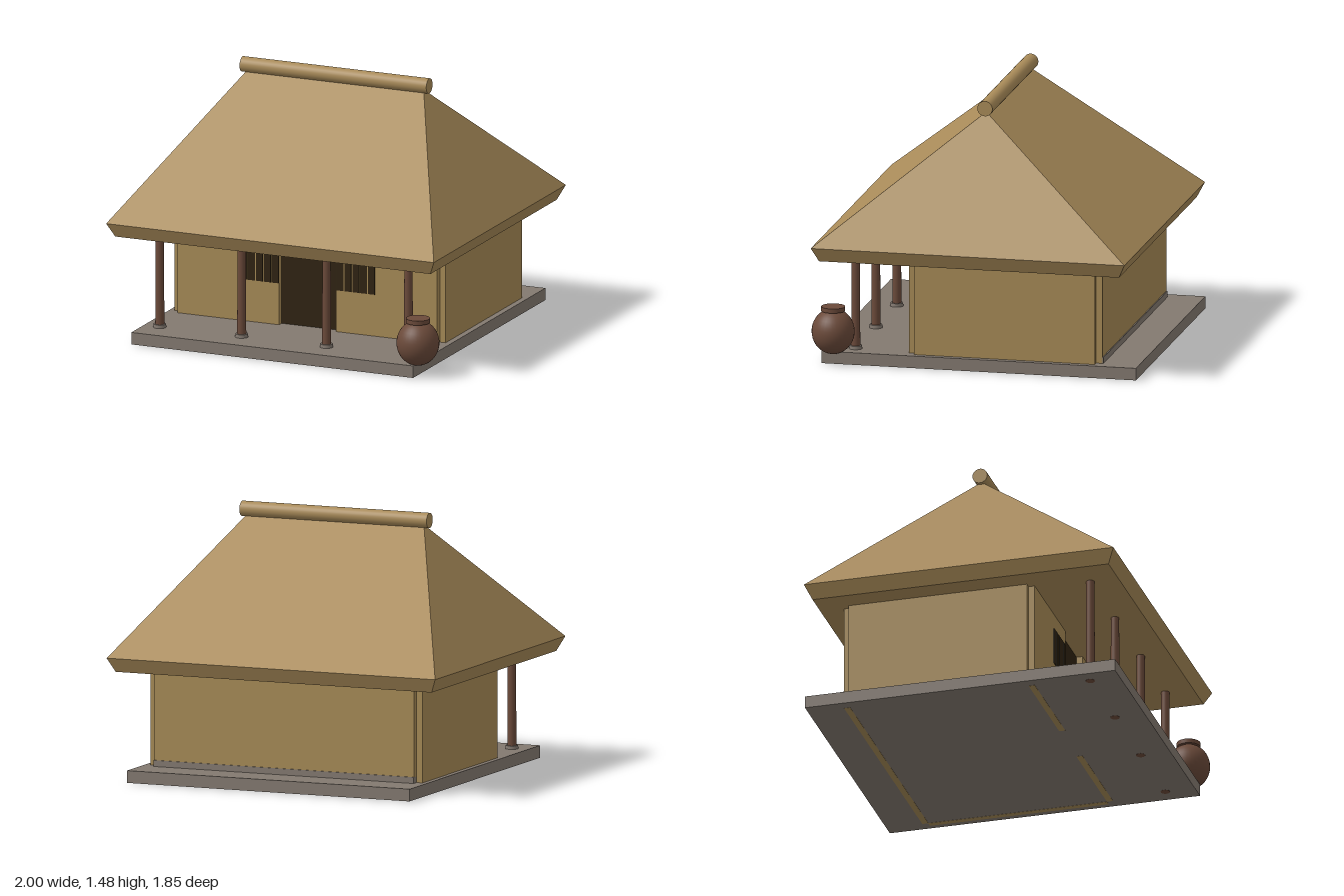
import * as THREE from 'three';
import { ConvexGeometry } from 'three/addons/geometries/ConvexGeometry.js';

const mat = (name, color) => {
  const m = new THREE.MeshStandardMaterial({ color });
  m.name = name;
  return m;
};

export function createModel() {
  const thatch = mat('thatch', 0xa98b59);
  const clay = mat('clayWall', 0xa68a56);
  const stone = mat('stone', 0x837970);
  const wood = mat('brownWood', 0x6b4a3a);
  const dark = mat('darkOpening', 0x2f2311);

  const model = new THREE.Group();
  model.name = 'thatchedHouse';

  const add = (name, geometry, material, x = 0, y = 0, z = 0) => {
    const mesh = new THREE.Mesh(geometry, material);
    mesh.name = name;
    mesh.position.set(x, y, z);
    model.add(mesh);
    return mesh;
  };
  // Box given by its extents on each axis
  const box = (name, material, [x0, x1], [y0, y1], [z0, z1]) =>
    add(name, new THREE.BoxGeometry(x1 - x0, y1 - y0, z1 - z0), material,
      (x0 + x1) / 2, (y0 + y1) / 2, (z0 + z1) / 2);

  // Platform
  box('platform', stone, [-0.86, 0.86], [0.001, 0.07], [-0.92, 0.876]);

  // Walls, notched at the corners, with a doorway gap in the front
  const wallY = [0, 0.62];
  box('backWall', clay, [-0.795, 0.79], wallY, [-0.712, -0.677]);
  box('leftWall', clay, [0.79, 0.825], wallY, [-0.677, 0.357]);
  box('rightWall', clay, [-0.83, -0.795], [0.06, 0.62], [-0.677, 0.357]);
  box('frontWallRight', clay, [-0.795, -0.175], wallY, [0.357, 0.392]);
  box('frontWallLeft', clay, [0.172, 0.79], wallY, [0.357, 0.392]);
  box('backPlinth', stone, [-0.795, 0.79], [0.06, 0.105], [-0.718, -0.675]);

  // Recessed dark doorway
  box('doorway', dark, [-0.19, 0.19], [0.06, 0.62], [0.35, 0.358]);

  // Slatted windows on both sides of the door
  for (const side of [-1, 1]) {
    for (let i = 0; i < 5; i++) {
      const x = side * (0.198 + i * 0.048);
      box('windowSlat', dark, [x - 0.0205, x + 0.0205], [0.31, 0.52], [0.388, 0.397]);
    }
  }

  // Porch posts on round stone feet
  for (const x of [-0.763, -0.263, 0.255, 0.755]) {
    add('porchPost', new THREE.CylinderGeometry(0.023, 0.026, 0.62, 20), wood, x, 0.31, 0.705);
    add('postFoot', new THREE.CylinderGeometry(0.035, 0.038, 0.03, 20), stone, x, 0.074, 0.705);
  }

  // Hipped roof: lower edge, eave and ridge line
  const points = [];
  for (const sx of [-1, 1]) {
    for (const sz of [-1, 1]) {
      points.push(new THREE.Vector3(sx * 0.962, 0.61, sz * 0.857));
      points.push(new THREE.Vector3(sx, 0.69, sz * 0.896));
    }
    points.push(new THREE.Vector3(sx * 0.535, 1.412, 0));
  }
  add('roof', new ConvexGeometry(points), thatch, 0, 0, 0.01);
  add('ridgeRoll', new THREE.CylinderGeometry(0.043, 0.043, 1.14, 28), thatch, 0, 1.437, 0.01)
    .rotation.z = Math.PI / 2;

  // Water jar with a flat rim
  const body = new THREE.SphereGeometry(0.12, 32, 20);
  body.scale(1, 1.07, 1);
  add('jarBody', body, wood, 0.86, 0.188, 0.81);
  add('jarRim', new THREE.CylinderGeometry(0.067, 0.067, 0.025, 32), wood, 0.86, 0.318, 0.81);

  return model;
}
